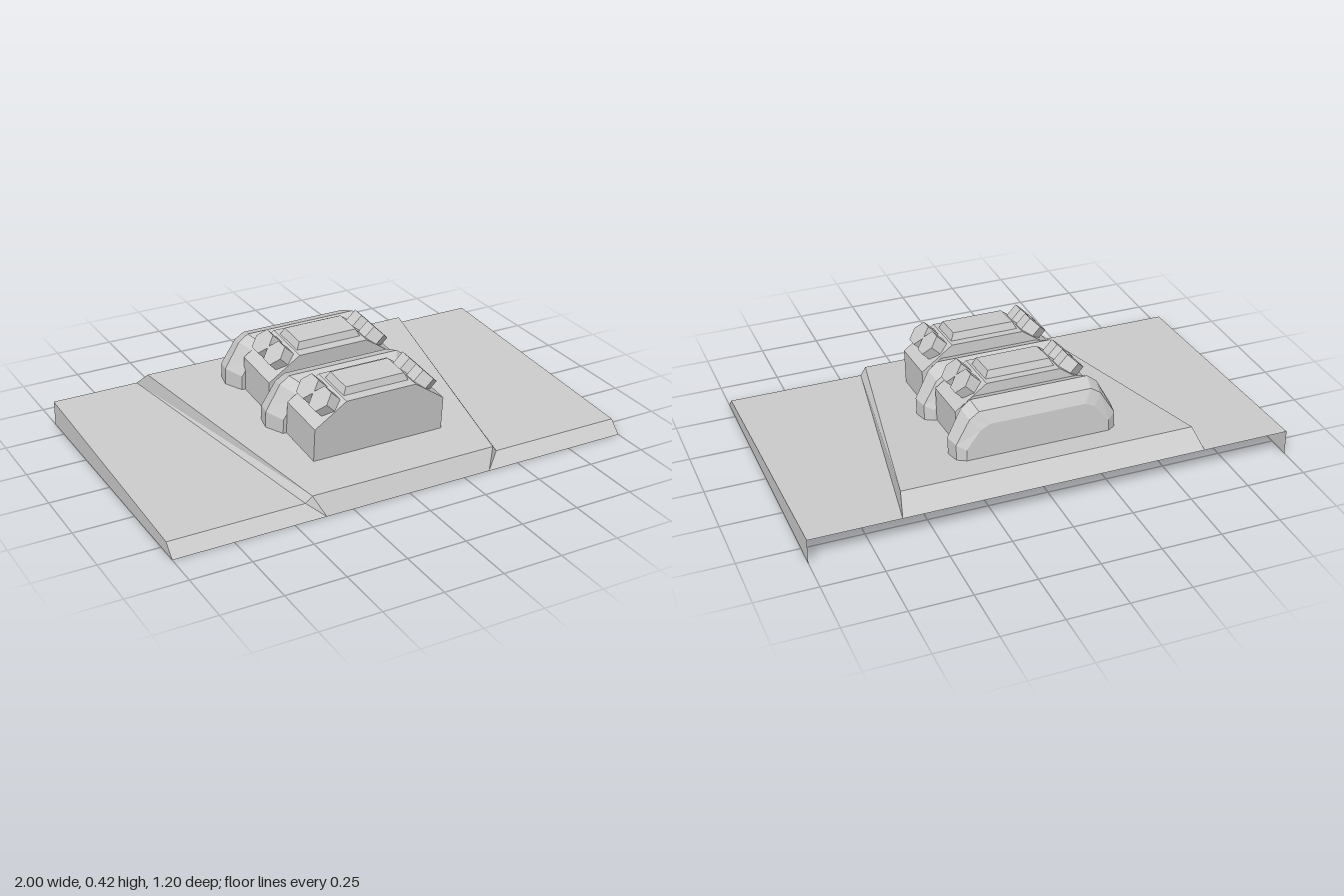
import * as THREE from 'three';

const material = new THREE.MeshStandardMaterial({ color: 0xcccccc, flatShading: true });
const sheetMaterial = new THREE.MeshStandardMaterial({ color: 0xcccccc, flatShading: true, side: THREE.DoubleSide });

function addMesh(parent, name, geometry, mat = material) {
  const mesh = new THREE.Mesh(geometry, mat);
  mesh.name = name;
  parent.add(mesh);
  return mesh;
}

// Flat convex panel from corners listed counter-clockwise
function panel(points) {
  const pos = [];
  for (let i = 1; i < points.length - 1; i++) pos.push(...points[0], ...points[i], ...points[i + 1]);
  const g = new THREE.BufferGeometry();
  g.setAttribute('position', new THREE.Float32BufferAttribute(pos, 3));
  g.computeVertexNormals();
  return g;
}

const mirror = (points) => points.map(([x, y, z]) => [-x, y, z]).reverse();

// Skin over outlines of equal point count, ordered front to back, capped at both ends
function loft(sections) {
  const n = sections[0].length, last = sections.length - 1;
  const pos = sections.flat(2), index = [];
  for (let s = 0; s < last; s++) {
    for (let j = 0; j < n; j++) {
      const a = s * n + j, b = s * n + (j + 1) % n;
      index.push(a, a + n, b + n, a, b + n, b);
    }
  }
  for (let j = 1; j < n - 1; j++) {
    index.push(0, j, j + 1, last * n, last * n + j + 1, last * n + j);
  }
  const g = new THREE.BufferGeometry();
  g.setAttribute('position', new THREE.Float32BufferAttribute(pos, 3));
  g.setIndex(index);
  const flat = g.toNonIndexed();
  flat.computeVertexNormals();
  return flat;
}

// Hollow base: two low wings and a raised, flaring ramp
function makeBase() {
  const base = new THREE.Group();
  base.name = 'base';
  const toe = [0.365, 0, 0.6], footFront = [0.43, 0.05, 0.55], footBack = [0.63, 0.105, -0.6];
  const topFront = [0.405, 0.08, 0.56], topBack = [0.61, 0.172, -0.52];
  const rimToe = [1, 0, 0.6], rimFront = [1, 0.05, 0.55], rimBack = [1, 0.105, -0.6];
  const sides = {
    wingTop: [footFront, rimFront, rimBack, footBack],
    wingFront: [toe, rimToe, rimFront, footFront],
    outerWall: [rimToe, [1, 0, -0.6], rimBack, rimFront],
    rampSide: [footFront, footBack, topBack, topFront],
    rampCorner: [toe, footFront, topFront],
  };
  for (const [name, pts] of Object.entries(sides)) {
    addMesh(base, name + 'Left', panel(pts), sheetMaterial);
    addMesh(base, name + 'Right', panel(mirror(pts)), sheetMaterial);
  }
  const m = ([x, y, z]) => [-x, y, z];
  addMesh(base, 'rampTop', panel([m(topFront), topFront, topBack, m(topBack)]), sheetMaterial);
  addMesh(base, 'rampFront', panel([m(toe), toe, topFront, m(topFront)]), sheetMaterial);
  addMesh(base, 'rampBack', panel([footBack, m(footBack), m(topBack), topBack]), sheetMaterial);
  return base;
}

// Bevelled collar with chamfered shoulders
function makeCollar() {
  const outline = ([z, w, h]) => {
    const half = [[w, -0.03, z], [w, h * 0.34, z], [w - 0.06, h * 0.86, z], [w - 0.1, h, z]];
    return [...half, ...mirror(half)];
  };
  return loft([
    [0.125, 0.305, 0.19],
    [0.052, 0.347, 0.215],
    [-0.012, 0.335, 0.19],
    [-0.035, 0.3, 0.14],
  ].map(outline));
}

// Block with sloped shoulders, a top plate and four hexagonal studs
function makeBlock() {
  const block = new THREE.Group();
  const shape = new THREE.Shape([
    [-0.29, -0.02], [0.29, -0.02], [0.29, 0.145], [0.155, 0.24], [-0.155, 0.24], [-0.29, 0.145],
  ].map(([x, y]) => new THREE.Vector2(x, y)));
  const body = new THREE.ExtrudeGeometry(shape, { depth: 0.23, bevelEnabled: false });
  addMesh(block, 'blockBody', body).position.z = 0.125;

  const plate = new THREE.BoxGeometry(0.29, 0.03, 0.15);
  const p = plate.attributes.position;
  for (let i = 0; i < p.count; i++) {
    if (p.getY(i) > 0) p.setXYZ(i, p.getX(i) * 0.9, p.getY(i), p.getZ(i) * 0.85);
  }
  plate.computeVertexNormals();
  addMesh(block, 'topPlate', plate).position.set(0, 0.255, 0.238);

  const stud = new THREE.CylinderGeometry(0.055, 0.055, 0.09, 6);
  for (const side of [1, -1]) {
    for (const z of [0.295, 0.19]) {
      const mesh = addMesh(block, 'stud', stud);
      mesh.position.set(side * 0.208, 0.209, z);
      mesh.rotation.z = -side * Math.PI / 4;
    }
  }
  return block;
}

export function createModel() {
  const model = new THREE.Group();
  model.name = 'rampWithBlocks';
  model.add(makeBase());

  // Everything on the ramp leans with its slope
  const unit = new THREE.Group();
  unit.name = 'rampUnit';
  unit.position.y = 0.126;
  unit.rotation.x = 0.085;
  model.add(unit);

  // Footing that reaches below the ramp skin
  addMesh(unit, 'footing', new THREE.BoxGeometry(0.58, 0.06, 0.71)).position.y = -0.05;

  const collar = makeCollar();
  for (let i = 0; i < 2; i++) {
    const block = makeBlock();
    block.name = i ? 'rearBlock' : 'frontBlock';
    block.position.z = -0.39 * i;
    unit.add(block);
    addMesh(unit, i ? 'rearCollar' : 'frontCollar', collar).position.z = -0.373 * i;
  }
  return model;
}
